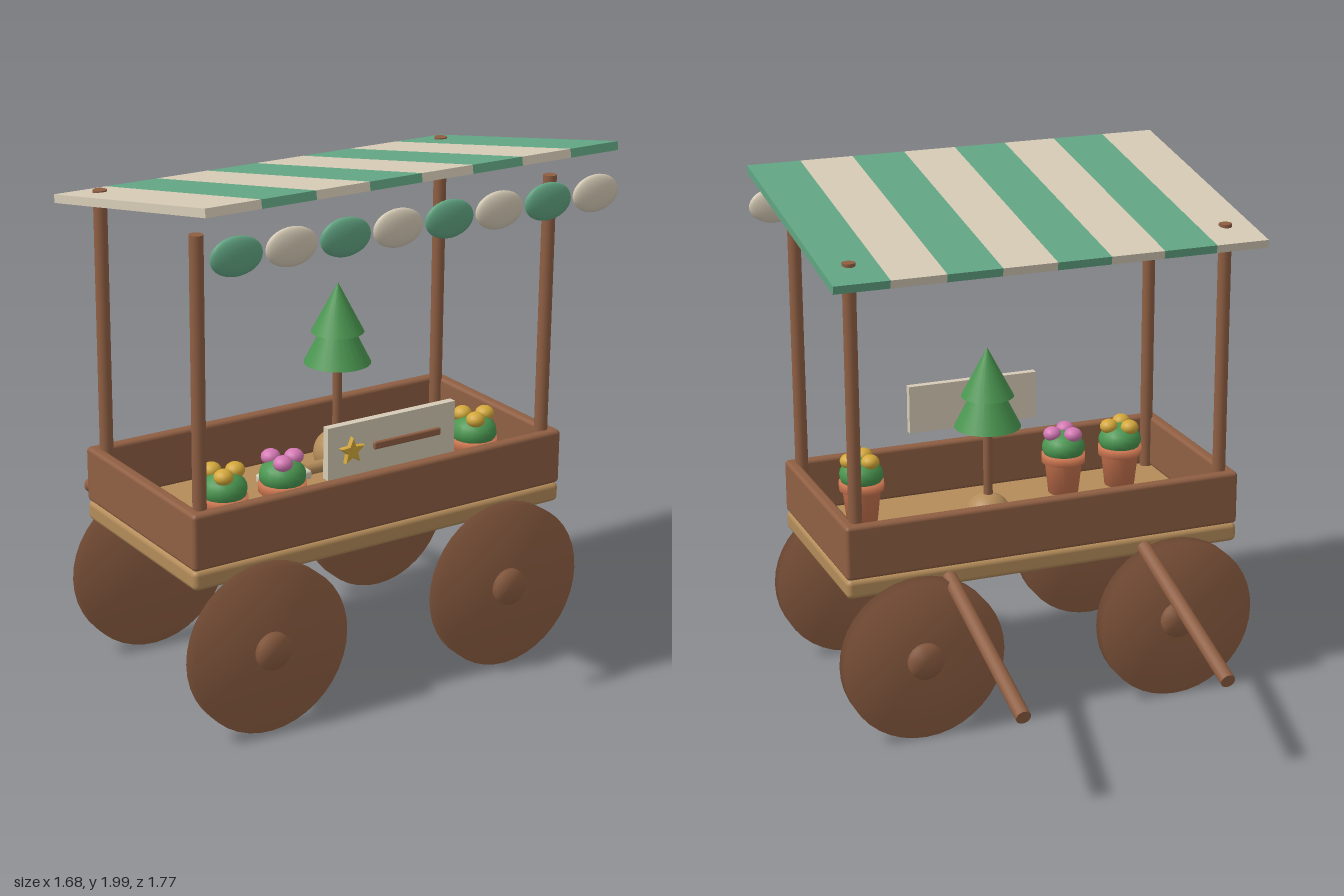
import * as THREE from 'three';
import { RoundedBoxGeometry } from 'three/addons/geometries/RoundedBoxGeometry.js';
import { mergeVertices } from 'three/addons/utils/BufferGeometryUtils.js';

const mat = (name, color) => {
  const m = new THREE.MeshStandardMaterial({ color });
  m.name = name;
  return m;
};

// shares vertices across edges so that shading flows softly over them
function soften(geo) {
  geo.deleteAttribute('normal');
  geo.deleteAttribute('uv');
  const g = mergeVertices(geo, 1e-4);
  g.computeVertexNormals();
  return g;
}

export function createModel() {
  const wood = mat('wood', 0x8f5f43);
  const tan = mat('paleWood', 0xb48c5a);
  const green = mat('awningGreen', 0x62a683);
  const cream = mat('cream', 0xd6cbb6);
  const leaf = mat('leafGreen', 0x4a9650);
  const clay = mat('terracotta', 0xc9744f);
  const gold = mat('gold', 0xd2a73a);
  const pink = mat('pink', 0xd478b4);

  const cart = new THREE.Group();
  cart.name = 'marketCart';
  const add = (name, geo, material, x, y, z, parent = cart) => {
    const m = new THREE.Mesh(geo, material);
    m.name = name;
    m.position.set(x, y, z);
    parent.add(m);
    return m;
  };
  const rbox = (w, h, d, r = 0.015) => new RoundedBoxGeometry(w, h, d, 2, r);

  // bed: floor slab and four boards
  add('bedFloor', rbox(1.58, 0.075, 0.79, 0.02), tan, 0, 0.618, 0.265);
  for (const z of [0.637, -0.107]) add('longBoard', rbox(1.58, 0.21, 0.046), wood, 0, 0.76, z);
  for (const x of [-0.767, 0.767]) add('endBoard', rbox(0.046, 0.21, 0.79), wood, x, 0.76, 0.265);

  // corner posts
  for (const x of [-0.735, 0.735])
    for (const z of [0.605, -0.07])
      add('post', new THREE.CylinderGeometry(0.025, 0.025, 1.19, 16), wood, x, 1.245, z);

  // solid wheels with hubs on the outer faces
  const wheelGeo = soften(new THREE.CylinderGeometry(0.315, 0.315, 0.058, 40));
  const hubGeo = soften(new THREE.CylinderGeometry(0.07, 0.07, 0.04, 24));
  for (const x of [-0.515, 0.515])
    for (const [z, side] of [[0.692, 1], [-0.158, -1]]) {
      add('wheel', wheelGeo, wood, x, 0.32, z).rotation.x = Math.PI / 2;
      add('hub', hubGeo, wood, x, 0.32, z + side * 0.029).rotation.x = Math.PI / 2;
    }

  // two sloping pull handles at the back
  const start = new THREE.Vector3(0, 0.615, -0.13);
  const end = new THREE.Vector3(0, 0.375, -0.873);
  const dir = end.clone().sub(start);
  for (const x of [-0.395, 0.395]) {
    const h = add('handle', new THREE.CylinderGeometry(0.028, 0.028, dir.length(), 16), wood,
      x, (start.y + end.y) / 2, (start.z + end.z) / 2);
    h.quaternion.setFromUnitVectors(new THREE.Vector3(0, 1, 0), dir.clone().normalize());
  }

  // striped sloping awning and its hanging scallops
  const awning = new THREE.Group();
  awning.name = 'awning';
  awning.position.set(0, 1.886, 0.315);
  awning.rotation.x = -0.182;
  cart.add(awning);
  const scallop = new THREE.SphereGeometry(1, 24, 16);
  for (let i = 0; i < 8; i++) {
    const x = (i - 3.5) * 0.21;
    add('awningStripe', new THREE.BoxGeometry(0.21, 0.031, 1.085), i % 2 ? green : cream, x, 0, 0, awning);
    add('scallop', scallop, i % 2 ? cream : green, x, 1.83, 0.863).scale.set(0.1, 0.068, 0.023);
  }

  // sign board with a bar and a star
  add('signBoard', new THREE.BoxGeometry(0.54, 0.193, 0.03), cream, -0.003, 0.997, 0.685);
  add('signBar', rbox(0.285, 0.028, 0.016, 0.006), wood, 0.058, 0.995, 0.705);
  const star = new THREE.Shape();
  for (let i = 0; i < 10; i++) {
    const a = Math.PI / 2 + (i * Math.PI) / 5;
    const r = i % 2 ? 0.021 : 0.048;
    star[i ? 'lineTo' : 'moveTo'](Math.cos(a) * r, Math.sin(a) * r);
  }
  star.closePath();
  add('signStar', new THREE.ExtrudeGeometry(star, {
    depth: 0.01, bevelEnabled: true, bevelThickness: 0.006, bevelSize: 0.003, bevelSegments: 1,
  }), gold, -0.18, 0.997, 0.704);

  // little fir tree with a wrapped root ball
  add('rootBall', new THREE.SphereGeometry(0.09, 24, 16), tan, 0.145, 0.735, 0.12);
  add('treeTrunk', new THREE.CylinderGeometry(0.018, 0.018, 0.42, 12), wood, 0.145, 0.92, 0.12);
  add('lowerBranches', new THREE.ConeGeometry(0.127, 0.25, 24), leaf, 0.145, 1.22, 0.12);
  add('upperBranches', new THREE.ConeGeometry(0.1, 0.19, 24), leaf, 0.145, 1.31, 0.12);

  // trowel lying beside the tree
  add('trowelBlade', rbox(0.2, 0.035, 0.085, 0.01), cream, -0.12, 0.705, 0.165);
  add('trowelHandle', new THREE.CylinderGeometry(0.024, 0.024, 0.14, 12), tan, 0.045, 0.71, 0.16)
    .rotation.z = Math.PI / 2;

  // flower pots
  const potProfile = [[0, 0], [0.06, 0], [0.075, 0.13], [0.088, 0.13], [0.088, 0.165], [0, 0.165]]
    .map(([x, y]) => new THREE.Vector2(x, y));
  const potGeo = new THREE.LatheGeometry(potProfile, 24);
  const ball = new THREE.SphereGeometry(1, 16, 12);
  for (const [x, petal] of [[-0.545, gold], [-0.3, pink], [0.545, gold]]) {
    const plant = new THREE.Group();
    plant.name = 'flowerPot';
    plant.position.set(x, 0.655, 0.445);
    cart.add(plant);
    add('pot', potGeo, clay, 0, 0, 0, plant);
    add('foliage', ball, leaf, 0, 0.19, 0, plant).scale.set(0.086, 0.065, 0.086);
    for (let i = 0; i < 3; i++) {
      const a = (i * Math.PI * 2) / 3;
      add('flower', ball, petal, Math.cos(a) * 0.048, 0.25, Math.sin(a) * 0.048, plant)
        .scale.set(0.036, 0.029, 0.036);
    }
  }
  return cart;
}
